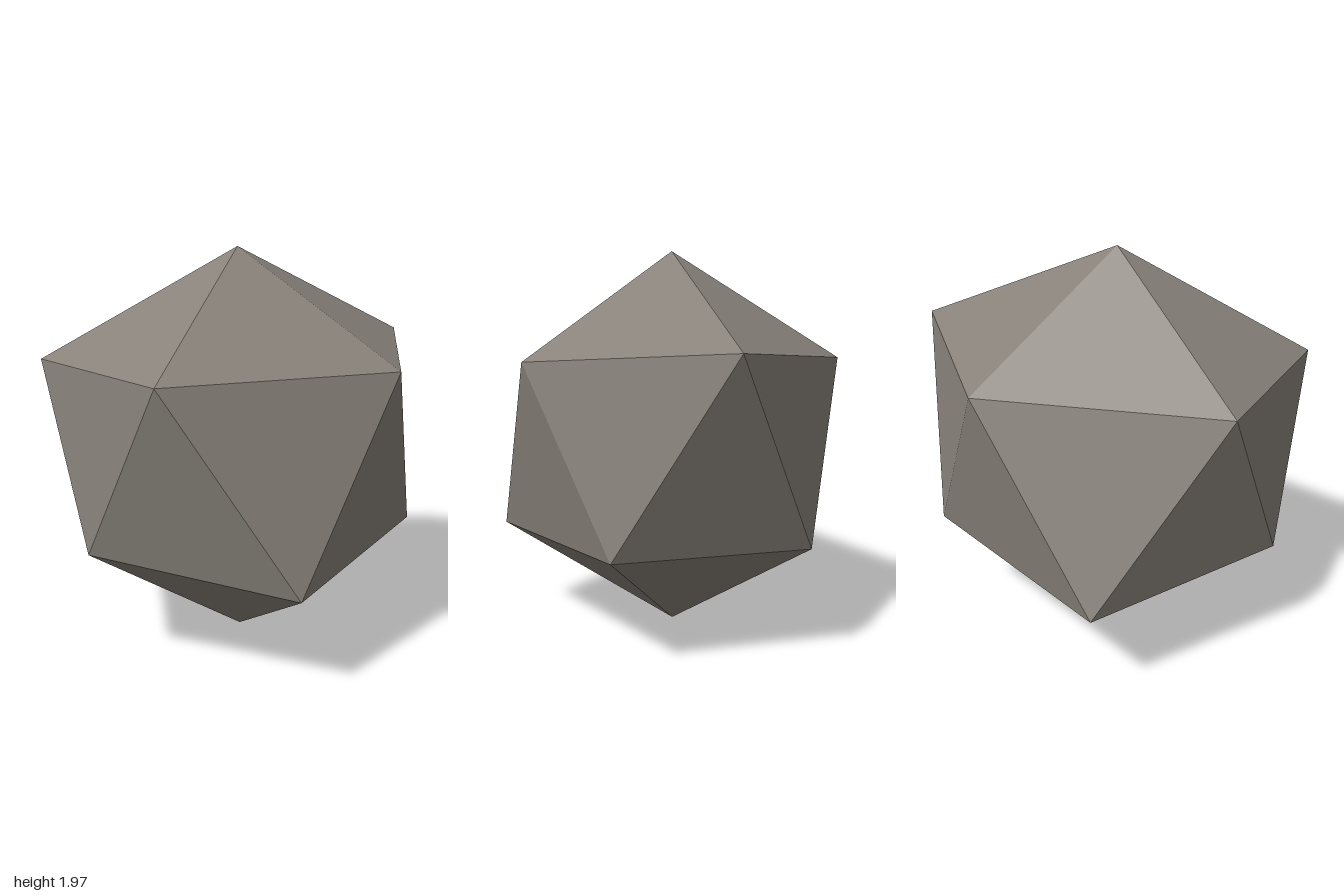
import * as THREE from 'three';

// Five-point ring, mirrored across z: one point on the axis plus two pairs.
// Points run from +x round through +z to -x and back.
const UPPER = [[1, 1.5, 0], [0.17, 1.43, 0.805], [-0.94, 1.44, 0.51]];
const LOWER = [[0.63, 0.56, 0.48], [-0.46, 0.515, 0.86], [-1, 0.6, 0]];
const TOP = [-0.13, 1.97, 0];
const BOTTOM = [-0.13, 0, 0];

const mirror = ([x, y, z]) => [x, y, -z];

export function createModel() {
  const upper = [...UPPER, mirror(UPPER[2]), mirror(UPPER[1])];
  const lower = [...LOWER, mirror(LOWER[1]), mirror(LOWER[0])];

  // Irregular icosahedron: top cap, zigzag belt and bottom cap
  const corners = [];
  for (let i = 0; i < 5; i++) {
    const j = (i + 1) % 5;
    corners.push(
      TOP, upper[j], upper[i],
      upper[i], upper[j], lower[i],
      lower[i], upper[j], lower[j],
      BOTTOM, lower[i], lower[j],
    );
  }
  const geometry = new THREE.BufferGeometry();
  geometry.setAttribute('position', new THREE.Float32BufferAttribute(corners.flat(), 3));
  geometry.computeVertexNormals();

  const stone = new THREE.MeshStandardMaterial({ color: 0x88827a, flatShading: true });
  stone.name = 'warm grey stone';

  const rock = new THREE.Mesh(geometry, stone);
  rock.name = 'rock';

  const group = new THREE.Group();
  group.name = 'boulder';
  group.add(rock);
  return group;
}
